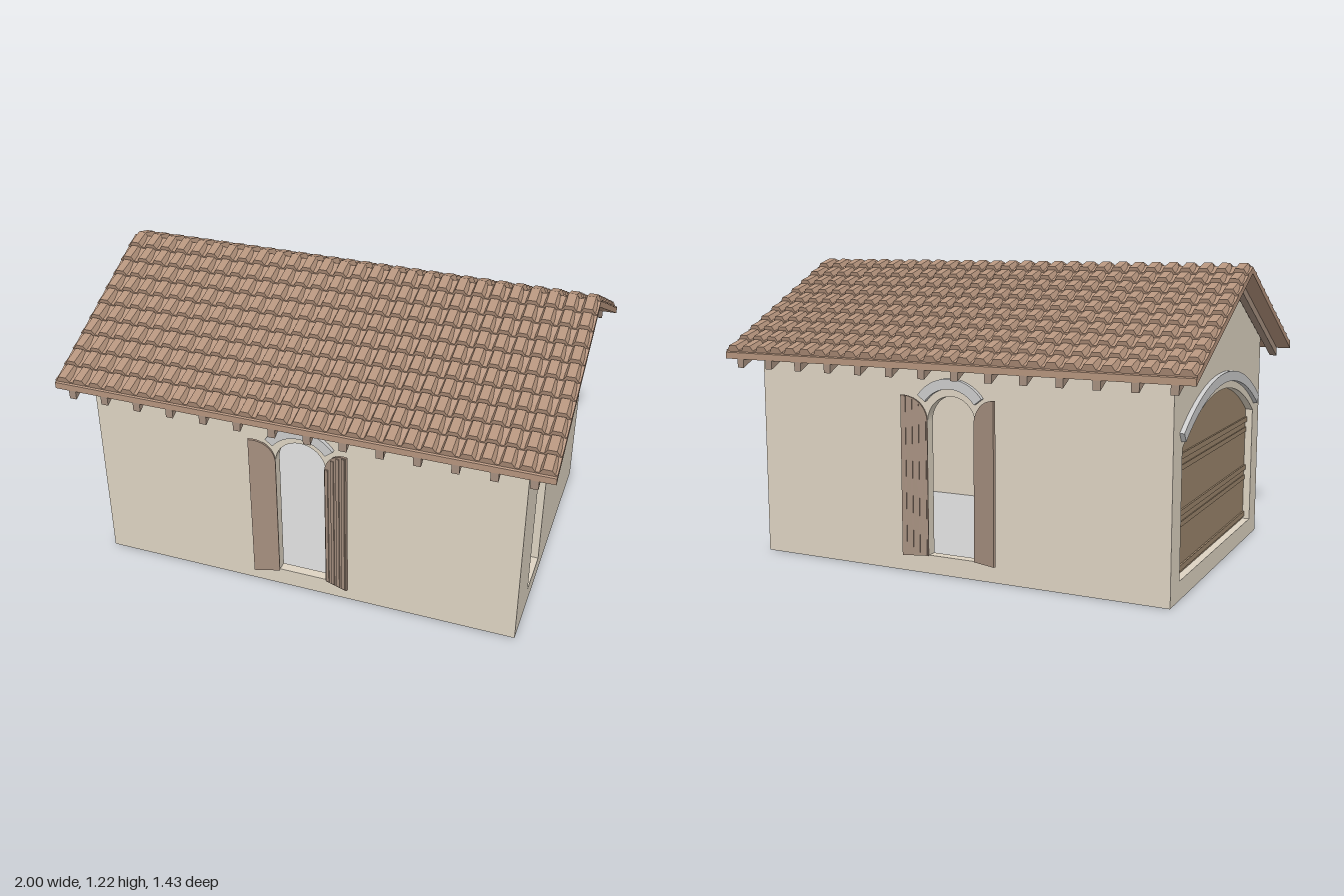
import * as THREE from 'three';

const mat = (color) => new THREE.MeshStandardMaterial({ color, side: THREE.DoubleSide });
const WALL = mat(0xddd3c2), ROOF = mat(0xb5947d), WOOD = mat(0xa58f7f), DOOR = mat(0x9c866c), GREY = mat(0xcccccc);

const W = 0.89, D = 0.61, T = 0.04;        // half width, half depth, wall thickness
const EAVE = 0.715, SLOPE = 0.4965;        // roof overhang in z, rise per unit

function add(parent, name, geometry, material, x = 0, y = 0, z = 0) {
  const mesh = new THREE.Mesh(geometry, material);
  mesh.name = name;
  mesh.position.set(x, y, z);
  parent.add(mesh);
  return mesh;
}

const extrude = (shape, depth) =>
  new THREE.ExtrudeGeometry(shape, { depth, bevelEnabled: false, curveSegments: 20 });
// Shape drawn in (z, y), extruded towards -x
const extrudeX = (shape, depth) => extrude(shape, depth).rotateY(-Math.PI / 2);
const poly = (pts) => new THREE.Shape(pts.map(([x, y]) => new THREE.Vector2(x, y)));

// Arched outline: straight jambs and an arc of radius r about (cx, cy)
function arched(Type, cx, half, y0, r, cy) {
  const p = new Type(), a = Math.acos(half / r);
  p.moveTo(cx - half, y0);
  p.lineTo(cx + half, y0);
  p.lineTo(cx + half, cy + r * Math.sin(a));
  p.absarc(cx, cy, r, a, Math.PI - a, false);
  p.closePath();
  return p;
}
const smallOpening = (cx) => arched(THREE.Path, cx, 0.105, 0.075, 0.105, 0.61);

// Curved band above an opening
function archBand(cx, cy, inner, outer, spread) {
  const s = new THREE.Shape(), m = Math.PI / 2;
  s.absarc(cx, cy, outer, m - spread, m + spread, false);
  s.absarc(cx, cy, inner, m + spread, m - spread, true);
  s.closePath();
  return s;
}

// Half-arch shutter leaf, hinged at x = 0
function shutter(planked) {
  const g = new THREE.Group();
  const s = new THREE.Shape();
  s.moveTo(0, 0.075);
  s.lineTo(0.105, 0.075);
  s.lineTo(0.105, 0.715);
  s.absarc(0.105, 0.61, 0.105, Math.PI / 2, Math.PI, false);
  s.closePath();
  add(g, 'shutterLeaf', extrude(s, 0.011), WOOD);
  if (planked) {
    [[0.012, 0.63], [0.04, 0.68], [0.066, 0.7], [0.092, 0.71]].forEach(([x, top]) =>
      add(g, 'shutterPlank', new THREE.BoxGeometry(0.014, top - 0.08, 0.006), WOOD, x, (top + 0.08) / 2, 0.012));
  }
  g.rotation.y = -0.3;
  return g;
}

// Long wall with arched window, arch band and shutters
function longWall() {
  const g = new THREE.Group();
  const s = poly([[-W, 0.002], [W, 0.002], [W, 0.87], [-W, 0.87]]);
  s.holes.push(smallOpening(0));
  add(g, 'longWall', extrude(s, T), WALL, 0, 0, D - T);
  add(g, 'windowArch', extrude(archBand(0, 0.61, 0.135, 0.175, 0.927), 0.02), GREY, 0, 0, D - 0.002);
  for (const side of [1, -1]) {
    const hinge = new THREE.Group();
    hinge.name = side > 0 ? 'leftShutter' : 'rightShutter';
    hinge.add(shutter(side > 0));
    hinge.position.set(side * 0.105, 0, D);
    hinge.scale.x = side;
    g.add(hinge);
  }
  return g;
}

function gableWall(name, hole, x) {
  const s = poly([[-D, 0.002], [D, 0.002], [D, 0.875], [0, 1.178], [-D, 0.875]]);
  s.holes.push(hole);
  return add(new THREE.Group(), name, extrudeX(s, T), WALL, x);
}

// Chevron strip following both roof slopes, between two apex heights
function chevron(low, high) {
  const drop = EAVE * SLOPE;
  return poly([[-EAVE, low - drop], [0, low], [EAVE, low - drop],
    [EAVE, high - drop], [0, high], [-EAVE, high - drop]]);
}

// Corrugated cross-section of one course of tiles
function tileProfile() {
  const n = 28, p = 2 / n, pts = [[1, -0.03], [-1, -0.03]];
  for (let i = 0; i < n; i++) {
    const x = -1 + i * p;
    pts.push([x, -0.02], [x + 0.008, -0.02], [x + 0.019, 0], [x + p - 0.019, 0], [x + p - 0.008, -0.02]);
  }
  pts.push([1, -0.02]);
  return poly(pts);
}

function roof() {
  const g = new THREE.Group();
  g.name = 'roof';
  add(g, 'roofDeck', extrudeX(chevron(1.18, 1.206), 2), ROOF, 1);
  const rafter = extrudeX(chevron(1.145, 1.182), 0.03);
  for (let i = 0; i < 14; i++) add(g, 'rafter', rafter, WOOD, -0.925 + i * 0.1423 + 0.015);

  // Ten overlapping courses on each slope
  const courses = 10, step = EAVE / courses, tilt = 0.28, len = step / Math.cos(tilt);
  const tile = extrude(tileProfile(), len).translate(0, 0, -len);
  for (const turn of [0, Math.PI]) {
    const slope = new THREE.Group();
    slope.name = turn ? 'backTiles' : 'frontTiles';
    slope.rotation.y = turn;
    for (let i = 0; i < courses; i++) {
      add(slope, 'tileCourse', tile, ROOF, 0, 0.88 + i * step * SLOPE, EAVE - i * step).rotation.x = tilt;
    }
    g.add(slope);
  }
  return g;
}

function garageDoor() {
  const g = new THREE.Group();
  g.name = 'garageDoor';
  add(g, 'doorPanel', extrudeX(arched(THREE.Shape, 0, 0.505, 0.075, 0.92, -0.2), 0.012), DOOR, -0.848);
  // Section rails, raised on both faces
  for (const y of [0.098, 0.31, 0.525]) {
    add(g, 'doorRail', new THREE.BoxGeometry(0.026, 0.022, 1.008), DOOR, -0.854, y, 0);
  }
  for (const y of [0.265, 0.48]) {
    add(g, 'doorMoulding', new THREE.BoxGeometry(0.02, 0.02, 1.008), DOOR, -0.854, y, 0);
  }
  return g;
}

export function createModel() {
  const model = new THREE.Group();
  model.name = 'garage';
  add(model, 'floor', new THREE.BoxGeometry(2 * W - 0.002, 0.02, 2 * D - 0.002), GREY, 0, 0.01, 0);

  const front = longWall(), back = longWall();
  front.name = 'front';
  back.name = 'back';
  back.scale.z = -1;
  model.add(front, back);

  // Gable ends: small doorway on +x, wide garage opening on -x
  model.add(gableWall('doorwayGable', smallOpening(0.285), W));
  model.add(gableWall('garageGable', arched(THREE.Path, 0, 0.505, 0.075, 0.92, -0.2), -W + T));
  add(model, 'doorwayArch', extrudeX(archBand(0.285, 0.61, 0.135, 0.175, 0.927), 0.02), GREY, W + 0.018);
  add(model, 'garageArch', extrudeX(archBand(0, -0.2, 0.95, 0.99, 0.578), 0.02), GREY, -W + 0.002);
  add(model, 'doorwayBar', new THREE.BoxGeometry(0.01, 0.5, 0.01), WOOD, W - T, 0.36, 0.376);

  model.add(garageDoor(), roof());
  return model;
}
